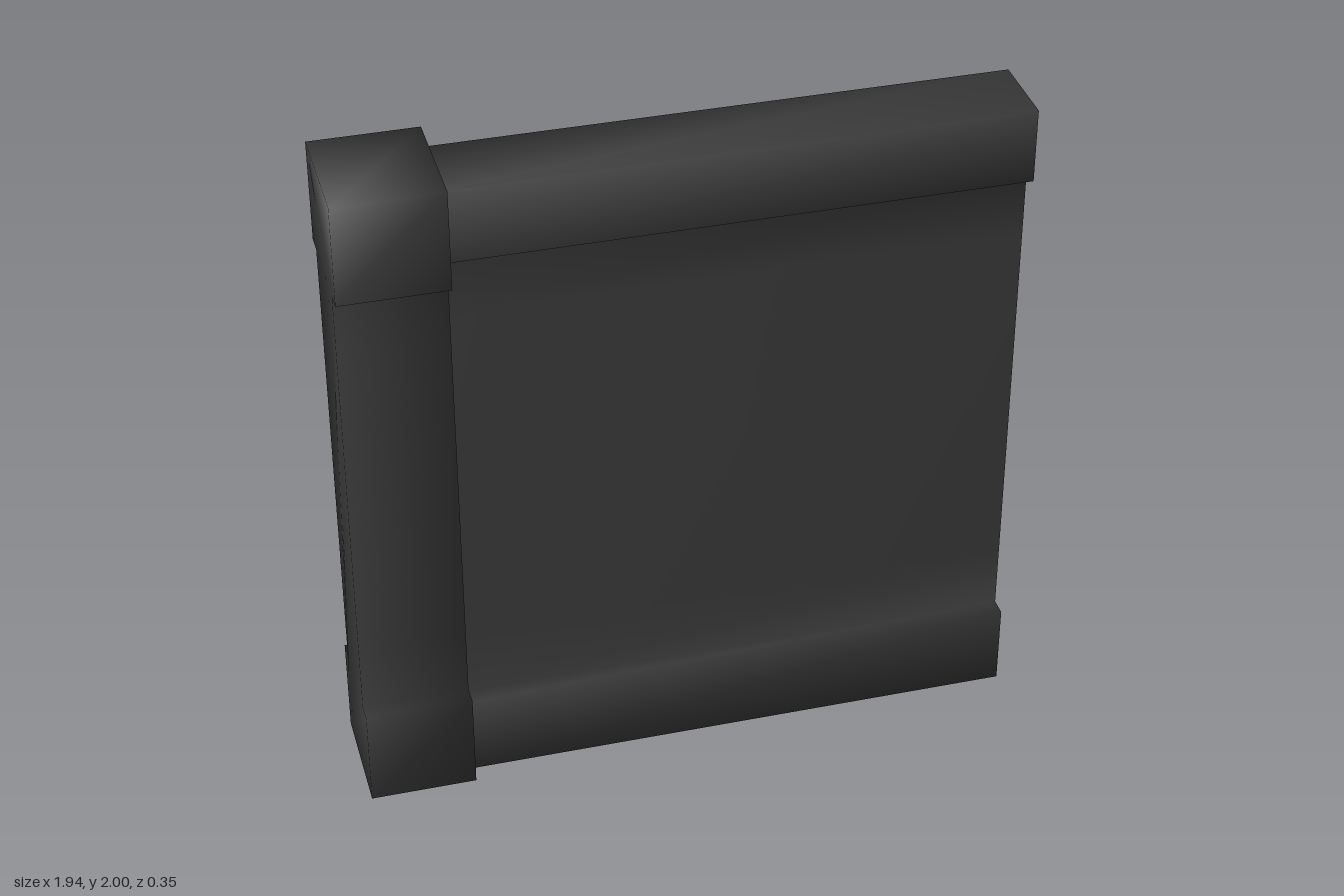
import * as THREE from 'three';
import { mergeVertices } from 'three/addons/utils/BufferGeometryUtils.js';

const material = new THREE.MeshStandardMaterial({ color: 0x3a3a3a });

// I-shaped section (thick foot, thin web, thick head) swept along x, with softly blended normals
function beam(name, x0, x1, { top, foot, head, wide, thin }) {
  const half = [
    [wide, 0], [wide, foot], [thin, foot], [thin, foot + 0.2],
    [thin, head - 0.2], [thin, head], [wide, head], [wide, top],
  ];
  const outline = [...half, ...half.map(([z, y]) => [-z, y]).reverse()];
  const shape = new THREE.Shape(outline.map(([z, y]) => new THREE.Vector2(z, y)));
  let geometry = new THREE.ExtrudeGeometry(shape, { depth: x1 - x0, bevelEnabled: false });
  geometry.rotateY(Math.PI / 2);
  geometry.translate(x0, 0, 0);

  // weld all corners so the shading runs smoothly over the edges
  geometry.deleteAttribute('uv');
  geometry.deleteAttribute('normal');
  geometry = mergeVertices(geometry, 1e-4);
  geometry.computeVertexNormals();

  const mesh = new THREE.Mesh(geometry, material);
  mesh.name = name;
  return mesh;
}

export function createModel() {
  const model = new THREE.Group();
  model.name = 'wallSection';

  // end post with a block at the base and at the top
  model.add(beam('post', -0.975, -0.665, { top: 2, foot: 0.3, head: 1.7, wide: 0.175, thin: 0.12 }));

  // thin wall panel between a bottom rail and a top rail
  model.add(beam('panelWithRails', -0.665, 0.97, { top: 1.97, foot: 0.25, head: 1.75, wide: 0.12, thin: 0.066 }));

  return model;
}
